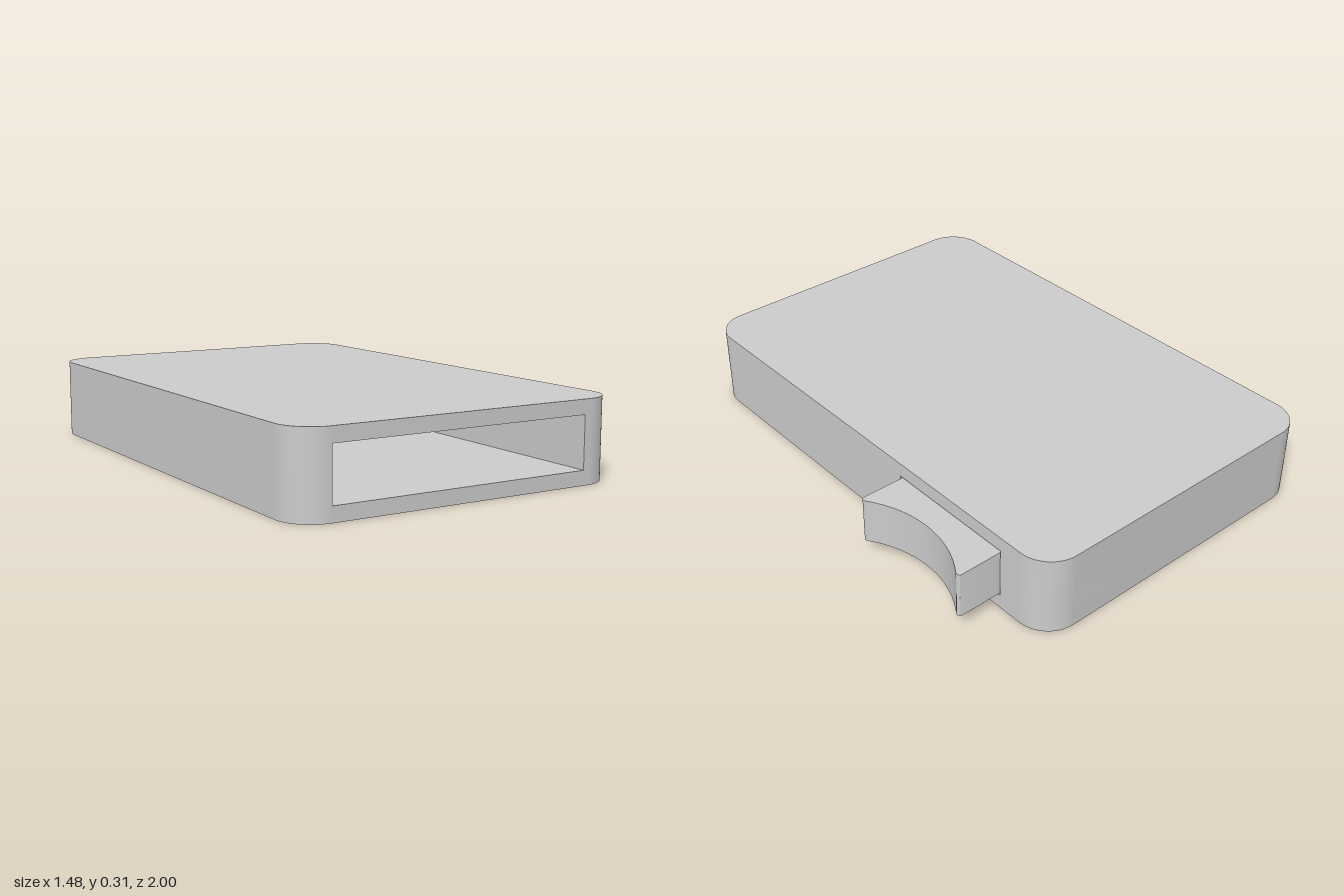
import * as THREE from 'three';
import { toCreasedNormals } from 'three/addons/utils/BufferGeometryUtils.js';

const L = -0.74, R = 0.56, RAD = 0.13;       // case sides and corner radius
const SL = -0.59, SR = 0.41;                 // cavity sides
const Y0 = 0.055, Y1 = 0.25, TOP = 0.305;    // cavity floor, ceiling, case top
const WIN_BACK = 0.775, WIN_FRONT = 0.24;    // side window, measured towards the back

export function createModel() {
  const group = new THREE.Group();
  const material = new THREE.MeshStandardMaterial({ color: 0xcccccc });

  const add = (name, geometry) => {
    const mesh = new THREE.Mesh(geometry, material);
    mesh.name = name;
    group.add(mesh);
    return mesh;
  };

  // Plan outline (x, -z) raised from y = a to y = b
  const raise = (name, shape, a, b) => {
    const geo = new THREE.ExtrudeGeometry(shape, { depth: b - a, bevelEnabled: false, curveSegments: 20 });
    geo.rotateX(-Math.PI / 2);
    geo.translate(0, a, 0);
    return add(name, toCreasedNormals(geo, 0.6));
  };

  // Quarter-round case corner about (cx, cy), starting at angle a, clockwise
  const corner = (s, cx, cy, a) => s.absarc(cx, cy, RAD, a, a - Math.PI / 2, true);
  const xl = L + RAD, xr = R - RAD, e = 1 - RAD, H = Math.PI / 2;

  // Floor and roof plates
  const plate = new THREE.Shape();
  corner(plate, xl, -e, -H);
  corner(plate, xl, e, Math.PI);
  corner(plate, xr, e, H);
  corner(plate, xr, -e, 0);
  plate.closePath();
  raise('caseFloor', plate, 0, Y0);
  raise('caseRoof', plate, Y1, TOP);

  // Left and back walls, ending at the side window
  const wall = new THREE.Shape();
  wall.moveTo(SL, -1);
  corner(wall, xl, -e, -H);
  corner(wall, xl, e, Math.PI);
  corner(wall, xr, e, H);
  wall.lineTo(R, WIN_BACK);
  wall.lineTo(SL, WIN_BACK);
  wall.closePath();
  raise('leftAndBackWall', wall, Y0, Y1);

  // Right wall from the window to the front opening
  const side = new THREE.Shape();
  side.moveTo(SR, WIN_FRONT);
  side.lineTo(R, WIN_FRONT);
  corner(side, xr, -e, 0);
  side.lineTo(SR, -1);
  side.closePath();
  raise('rightWall', side, Y0, Y1);

  // Push button with a concave finger grip and rounded tips
  const tip = 0.735, b0 = 0.243, b1 = 0.772, r = 0.014;
  const button = new THREE.Shape();
  button.moveTo(SR, b0);
  button.lineTo(tip - r, b0);
  button.quadraticCurveTo(tip, b0, tip, b0 + r);
  button.lineTo(tip - 0.004, b0 + 0.022);
  button.bezierCurveTo(0.63, 0.41, 0.63, 0.605, tip - 0.004, b1 - 0.022);
  button.lineTo(tip, b1 - r);
  button.quadraticCurveTo(tip, b1, tip - r, b1);
  button.lineTo(SR, b1);
  button.closePath();
  raise('pushButton', button, 0.06, 0.24);

  // Inner slider with a groove across its front face
  for (const [name, a, b, front] of [
    ['sliderBottom', 0.056, 0.115, -b0],
    ['sliderCore', 0.115, 0.15, -b0 - 0.2],
    ['sliderTop', 0.15, 0.245, -b0],
  ]) {
    const depth = front + b1;
    const box = add(name, new THREE.BoxGeometry(SR - SL - 0.004, b - a, depth));
    box.position.set((SL + SR) / 2, (a + b) / 2, front - depth / 2);
  }

  return group;
}
